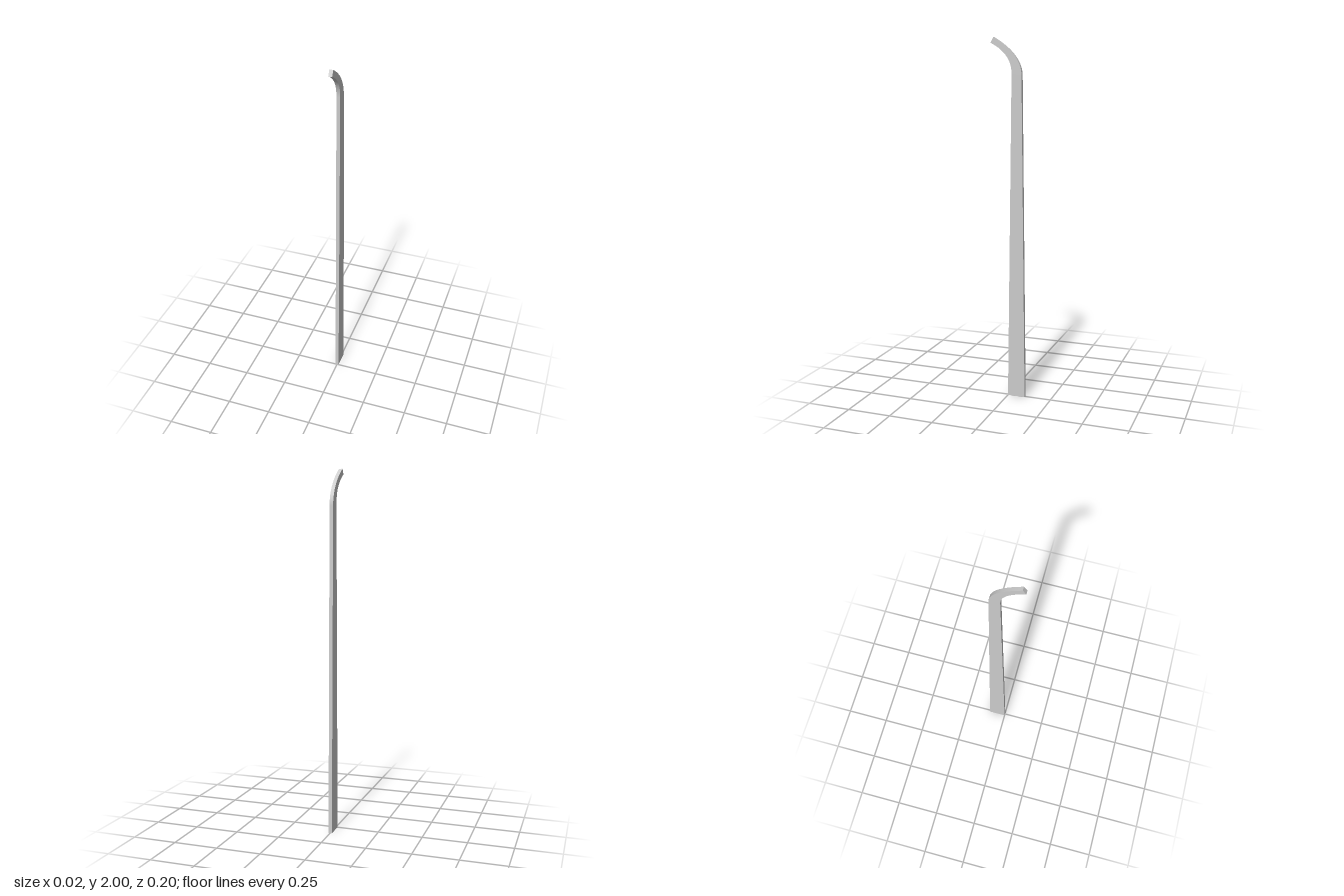
import * as THREE from 'three';
import { toCreasedNormals } from 'three/addons/utils/BufferGeometryUtils.js';

export function createModel() {
  const group = new THREE.Group();
  group.name = 'hookedBar';
  const thickness = 0.02;

  // Side profile (z, y): tapered shaft curving forward into a hooked tip
  const profile = new THREE.Shape();
  profile.moveTo(0, 0);
  profile.lineTo(-0.1, 0);
  profile.lineTo(-0.076, 1.8);
  profile.quadraticCurveTo(-0.074, 1.908, 0.083, 2);
  profile.lineTo(0.1, 1.97);
  profile.quadraticCurveTo(-0.019, 1.912, -0.02, 1.81);
  profile.closePath();

  // Extrude across x and turn the profile to face +z
  const geometry = new THREE.ExtrudeGeometry(profile, {
    depth: thickness, bevelEnabled: false, curveSegments: 16,
  });
  geometry.translate(0, 0, -thickness / 2);
  geometry.rotateY(-Math.PI / 2);

  const bar = new THREE.Mesh(
    toCreasedNormals(geometry, 0.6),
    new THREE.MeshStandardMaterial({ color: 0xcccccc }),
  );
  bar.name = 'bar';
  group.add(bar);
  return group;
}
